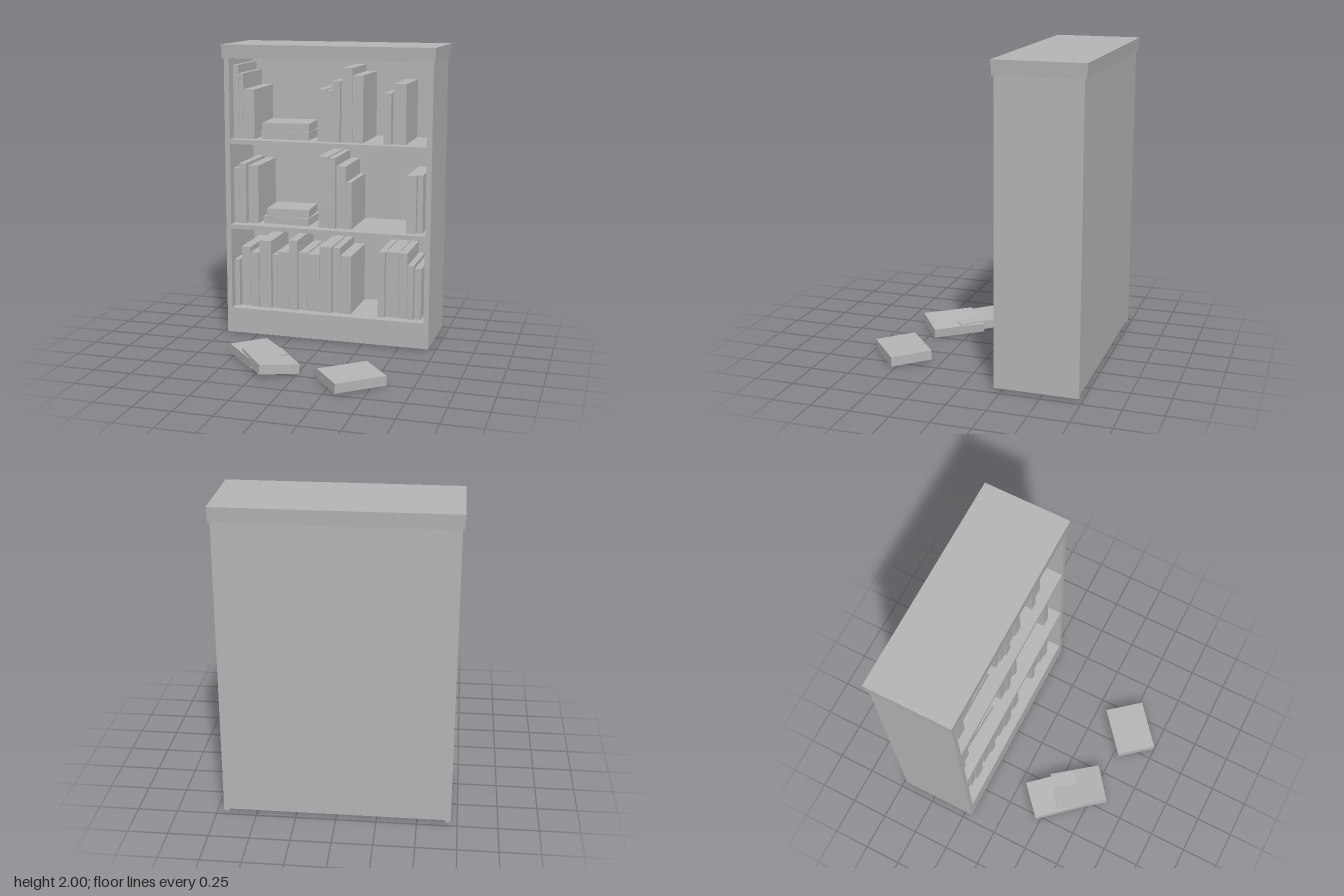
import * as THREE from 'three';

export function createModel() {
  const model = new THREE.Group();
  model.name = 'bookcase';
  const grey = new THREE.MeshStandardMaterial({ color: 0xb4b4b4 });
  grey.name = 'plain grey';

  const add = (name, geometry, parent = model) => {
    const mesh = new THREE.Mesh(geometry, grey);
    mesh.name = name;
    parent.add(mesh);
    return mesh;
  };
  // Box given by its extents
  const slab = (name, x0, x1, y0, y1, z0, z1, parent) => {
    const mesh = add(name, new THREE.BoxGeometry(x1 - x0, y1 - y0, z1 - z0), parent);
    mesh.position.set((x0 + x1) / 2, (y0 + y1) / 2, (z0 + z1) / 2);
    return mesh;
  };

  // Cabinet: sides, back, plinth board and shelves
  const back = -0.73, front = -0.2, wall = -0.665;
  slab('rightSide', -0.71, -0.675, 0.015, 1.915, back, front);
  slab('leftSide', 0.67, 0.705, 0.015, 1.915, back, front);
  slab('backPanel', -0.675, 0.67, 0.03, 1.915, back, wall);
  slab('plinthBoard', -0.675, 0.67, 0.015, 0.16, front - 0.035, front);
  const shelves = [[0.16, 0.19], [0.75, 0.78], [1.335, 1.365]];
  for (const [y0, y1] of shelves) slab('shelf', -0.675, 0.67, y0, y1, wall, front);

  // Cornice: narrows slightly towards the bottom
  const cornice = new THREE.BoxGeometry(1.445, 0.09, 0.565);
  const p = cornice.attributes.position;
  for (let i = 0; i < p.count; i++) {
    if (p.getY(i) < 0) {
      p.setX(i, p.getX(i) - Math.sign(p.getX(i)) * 0.005);
      p.setZ(i, p.getZ(i) - Math.sign(p.getZ(i)) * 0.006);
    }
  }
  cornice.computeVertexNormals();
  add('cornice', cornice).position.set(-0.0025, 1.955, -0.467);

  // Upright books per shelf: [left edge, right edge, top]
  const rows = [
    [[-0.675, -0.64, 0.52], [-0.63, -0.565, 0.61], [-0.56, -0.505, 0.575], [-0.495, -0.41, 0.665],
      [-0.405, -0.37, 0.565], [-0.365, -0.285, 0.59], [-0.28, -0.222, 0.68], [-0.218, -0.155, 0.595],
      [-0.15, -0.07, 0.59], [-0.065, 0.02, 0.65], [0.025, 0.075, 0.645], [0.08, 0.155, 0.595],
      [0.345, 0.39, 0.64], [0.395, 0.48, 0.64], [0.485, 0.54, 0.64], [0.545, 0.585, 0.56], [0.59, 0.635, 0.54]],
    [[-0.675, -0.64, 1.16], [-0.635, -0.585, 1.195], [-0.575, -0.505, 1.18], [-0.075, -0.005, 1.265],
      [0, 0.045, 1.26], [0.05, 0.115, 1.205], [0.12, 0.155, 1.1], [0.53, 0.595, 1.165], [0.6, 0.635, 1.17]],
    [[-0.675, -0.64, 1.86], [-0.635, -0.6, 1.805], [-0.595, -0.52, 1.7], [-0.085, -0.032, 1.71],
      [-0.028, 0.015, 1.705], [0.02, 0.075, 1.77], [0.08, 0.155, 1.855], [0.16, 0.23, 1.81],
      [0.37, 0.42, 1.7], [0.43, 0.515, 1.76]],
  ];
  rows.forEach((row, r) => {
    const group = new THREE.Group();
    group.name = 'bookRow';
    model.add(group);
    row.forEach(([x0, x1, top], i) => {
      const face = -0.26 - 0.01 * ((i * 2 + r) % 3);
      slab('uprightBook', x0, x1, shelves[r][1], top, wall + 0.01, face, group);
    });
  });

  // Loose book: centre, size and turn, with an optional sideways lean
  const loose = (name, [x, y, z], [w, h, d], yaw, lean = 0) => {
    const mesh = add(name, new THREE.BoxGeometry(w, h, d));
    mesh.position.set(x, y, z);
    mesh.rotation.set(lean, yaw, 0, 'YXZ');
  };

  // Stacks lying flat on the upper two shelves
  loose('lyingBook', [-0.317, 1.3925, -0.43], [0.335, 0.055, 0.27], 0);
  loose('lyingBook', [-0.32, 1.4475, -0.43], [0.325, 0.055, 0.26], 0.05);
  loose('lyingBook', [-0.307, 0.805, -0.43], [0.325, 0.05, 0.27], -0.04);
  loose('lyingBook', [-0.307, 0.8575, -0.43], [0.295, 0.055, 0.25], 0.05);

  // Books dropped on the floor
  loose('floorBook', [-0.32, 0.045, 0.2625], [0.35, 0.06, 0.262], -0.836);
  loose('floorBook', [-0.198, 0.048, 0.3925], [0.353, 0.06, 0.267], -0.916, -0.11);
  loose('floorBook', [0.37, 0.047, 0.53], [0.345, 0.063, 0.27], 0.7, 0.03);

  return model;
}
